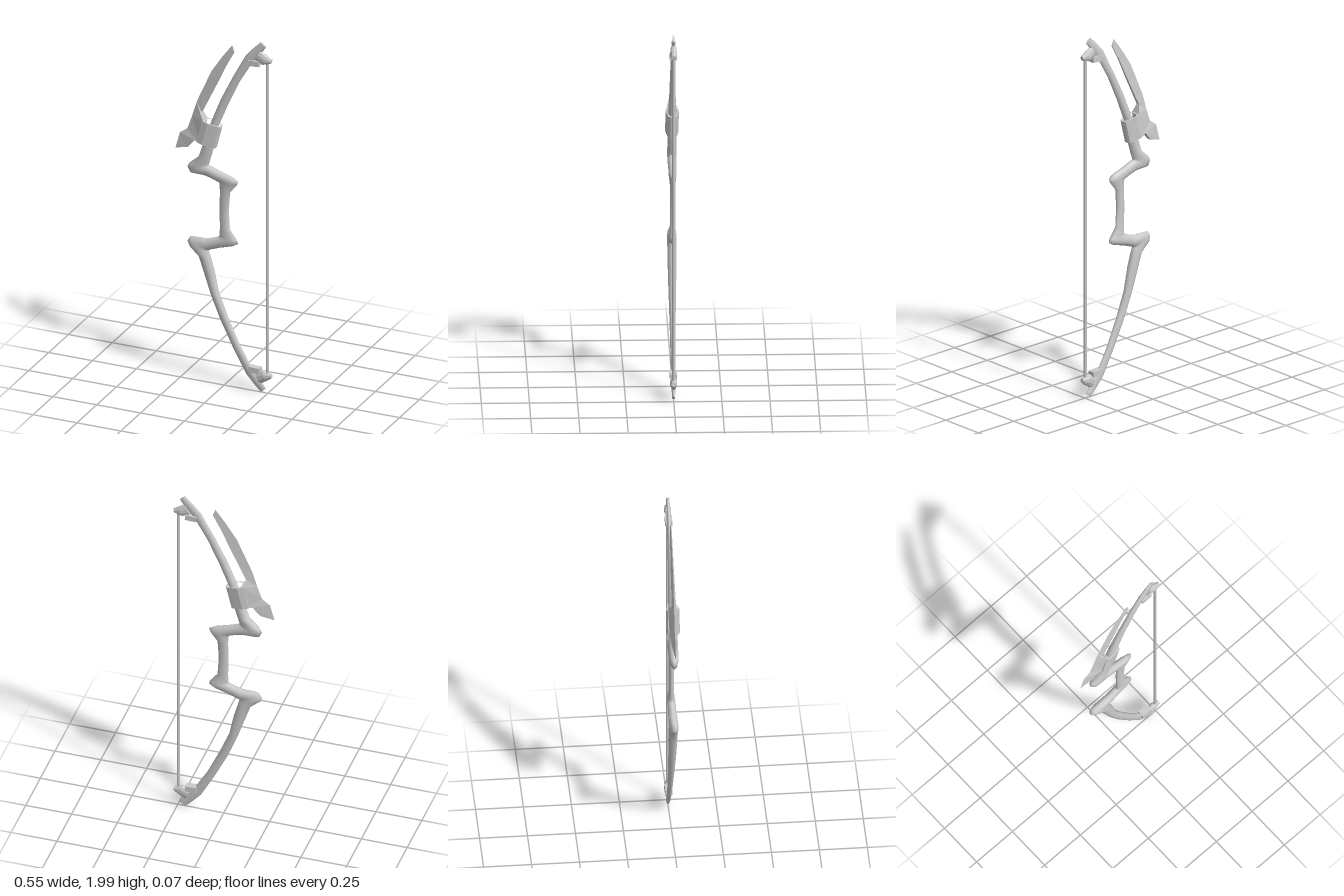
import * as THREE from 'three';

const MID = 1.004; // height of the mirror line through the grip
const SIDES = 10;

const material = (flatShading = false) =>
  new THREE.MeshStandardMaterial({ color: 0xcccccc, flatShading });

// Skins a list of equal-length rings and closes both ends.
function skin(rings, name, flat = false) {
  const n = rings[0].length, pos = rings.flat(2), index = [];
  for (let i = 0; i < rings.length - 1; i++) {
    for (let j = 0; j < n; j++) {
      const a = i * n + j, b = i * n + (j + 1) % n;
      index.push(a, a + n, b + n, a, b + n, b);
    }
  }
  const end = pos.length / 3;
  pos.push(...rings[0].flat(), ...rings[rings.length - 1].flat());
  for (let j = 1; j < n - 1; j++) {
    index.push(end, end + j, end + j + 1, end + n, end + n + j + 1, end + n + j);
  }
  let g = new THREE.BufferGeometry();
  g.setAttribute('position', new THREE.Float32BufferAttribute(pos, 3));
  g.setIndex(index);
  if (flat) g = g.toNonIndexed();
  g.computeVertexNormals();
  const mesh = new THREE.Mesh(g, material(flat));
  mesh.name = name;
  return mesh;
}

// Oval ring spanning the left edge (lx, ly) and right edge (rx, ry), half depth d.
function oval([lx, ly, rx, ry, d]) {
  return Array.from({ length: SIDES }, (_, k) => {
    const a = k / SIDES * Math.PI * 2, c = Math.cos(a);
    return [(lx + rx) / 2 + c * (rx - lx) / 2, (ly + ry) / 2 + c * (ry - ly) / 2, Math.sin(a) * d];
  });
}

const flipY = y => 2 * MID - y;

export function createModel() {
  const bow = new THREE.Group();
  bow.name = 'bow';

  // Riser and limb: left edge, right edge, half depth, from the grip to the tip
  const upper = [
    [-0.026, 1.02, 0.028, 1.02, 0.014],
    [-0.024, 1.11, 0.034, 1.11, 0.014],
    [-0.027, 1.15, 0.075, 1.163, 0.019],
    [-0.029, 1.157, 0.08, 1.182, 0.021],
    [-0.034, 1.160, 0.05, 1.2, 0.022],
    [-0.066, 1.172, -0.024, 1.222, 0.022],
    [-0.105, 1.183, -0.08, 1.243, 0.024],
    [-0.193, 1.185, -0.087, 1.247, 0.024],
    [-0.209, 1.215, -0.086, 1.25, 0.025],
    [-0.2, 1.237, -0.084, 1.256, 0.025],
    [-0.145, 1.285, -0.075, 1.29, 0.025],
    [-0.118, 1.365, -0.056, 1.355, 0.024],
    [-0.074, 1.495, -0.03, 1.48, 0.021],
    [-0.02, 1.63, 0.024, 1.612, 0.017],
    [0.05, 1.773, 0.088, 1.75, 0.014],
    [0.124, 1.91, 0.158, 1.87, 0.012],
    [0.167, 1.958, 0.199, 1.922, 0.011],
    [0.209, 2.0, 0.24, 1.975, 0.008],
  ];
  const lower = upper.map(([lx, ly, rx, ry, d]) => [lx, flipY(ly), rx, flipY(ry), d]).reverse();
  bow.add(skin([...lower, ...upper].map(oval), 'riserAndLimbs'));

  // Cam lobe and limb pad at each tip
  const cam = [
    [0.209, 1.952, 0.178, 1.892, 0.016],
    [0.24, 1.933, 0.222, 1.873, 0.019],
    [0.272, 1.911, 0.268, 1.887, 0.012],
  ];
  for (const top of [true, false]) {
    const rows = top ? cam : cam.map(([lx, ly, rx, ry, d]) => [rx, flipY(ry), lx, flipY(ly), d]);
    bow.add(skin(rows.map(oval), top ? 'upperCam' : 'lowerCam', true));
    const pad = new THREE.Mesh(new THREE.BoxGeometry(0.062, 0.03, 0.038), material(true));
    pad.name = top ? 'upperLimbPad' : 'lowerLimbPad';
    pad.position.set(0.175, top ? 1.877 : flipY(1.877), 0);
    pad.rotation.z = top ? 0.06 : -0.06;
    bow.add(pad);
  }

  // String
  const string = new THREE.Mesh(new THREE.CylinderGeometry(0.008, 0.008, 1.78, 8), material());
  string.name = 'string';
  string.position.set(0.247, MID, 0);
  bow.add(string);

  // Blade: sharp outer edge, thicker inner edge, from the lower fin to the prong tip
  const blade = [
    [-0.277, 1.311, -0.203, 1.33, 0.012],
    [-0.252, 1.402, -0.162, 1.38, 0.019],
    [-0.209, 1.433, -0.125, 1.372, 0.028],
    [-0.183, 1.507, -0.108, 1.5, 0.028],
    [-0.157, 1.592, -0.124, 1.545, 0.01],
    [-0.124, 1.667, -0.093, 1.608, 0.008],
    [-0.072, 1.783, -0.034, 1.73, 0.007],
    [-0.013, 1.873, 0.013, 1.831, 0.005],
    [0.046, 1.952, 0.059, 1.915, 0.003],
  ];
  bow.add(skin(blade.map(([ox, oy, ix, iy, d]) =>
    [[ix, iy, d], [ox, oy, 0], [ix, iy, -d]]), 'blade', true));

  // Sleeve that clamps the blade around the upper limb
  const loop = half => [...half, ...half.map(([x, y]) => [x, -y]).reverse()]
    .map(([x, y]) => new THREE.Vector2(x, y));
  const profile = new THREE.Shape(loop([[-0.004, 0.028], [0.03, 0.035], [0.075, 0.026], [0.094, 0.021], [0.1, 0.01]]));
  profile.holes.push(new THREE.Path(loop([[0.012, 0.02], [0.035, 0.027], [0.072, 0.02], [0.09, 0.01]])));
  const sleeveGeometry = new THREE.ExtrudeGeometry(profile, { depth: 0.13, bevelEnabled: false });
  sleeveGeometry.rotateX(-Math.PI / 2);
  sleeveGeometry.rotateZ(-0.24);
  const sleeve = new THREE.Mesh(sleeveGeometry, material(true));
  sleeve.name = 'sleeve';
  sleeve.position.set(-0.142, 1.376, 0);
  bow.add(sleeve);

  return bow;
}
